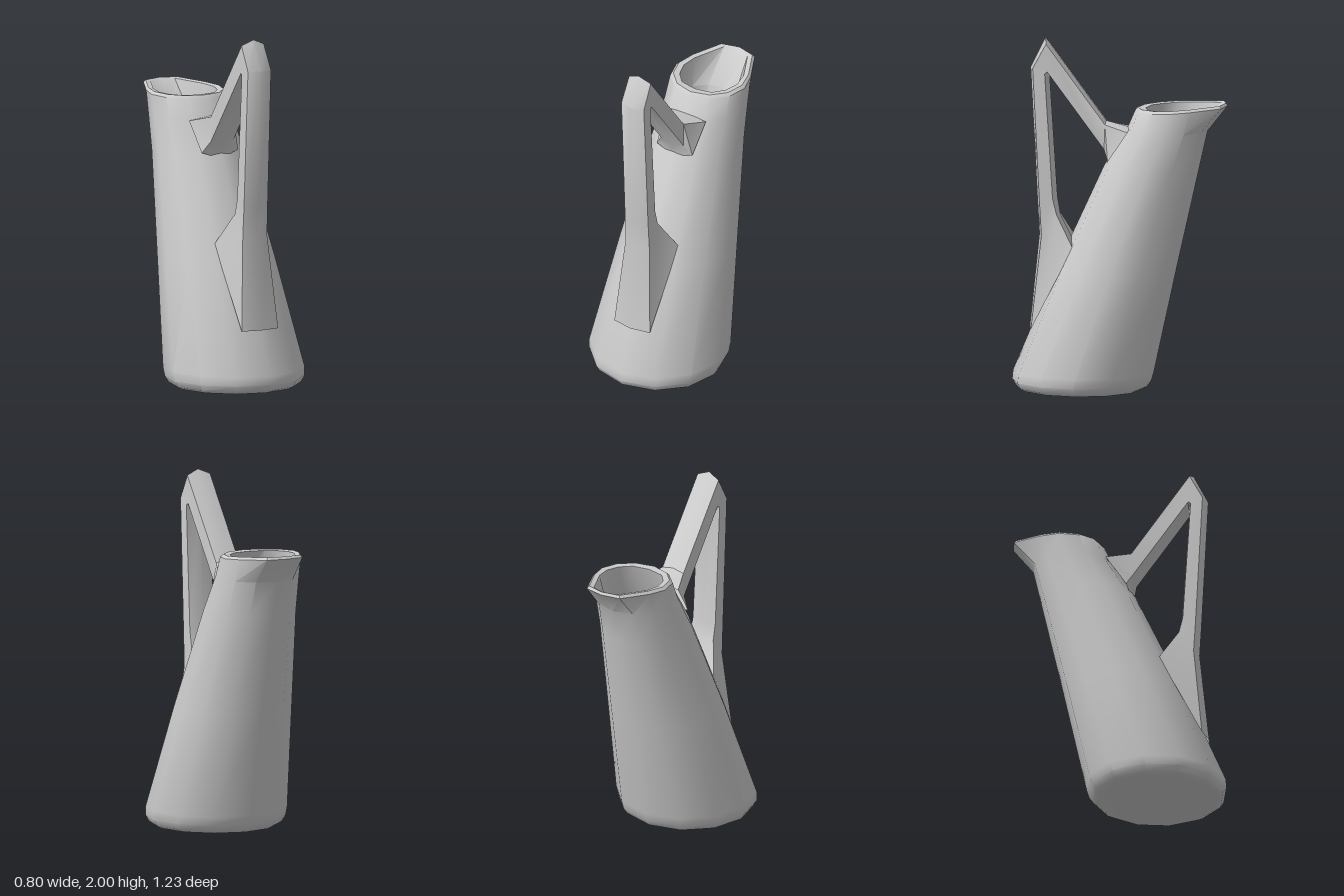
import * as THREE from 'three';
import { toCreasedNormals } from 'three/addons/utils/BufferGeometryUtils.js';

// Skins a list of equal-sized closed loops; optional flat caps at both ends
function loft(loops, caps, crease) {
  const n = loops[0].length;
  const pos = loops.flat(2);
  const index = [];
  for (let i = 0; i < loops.length - 1; i++) {
    for (let j = 0; j < n; j++) {
      const k = (j + 1) % n;
      const a = i * n + j, b = i * n + k, c = b + n, d = a + n;
      index.push(a, b, c, a, c, d);
    }
  }
  if (caps) {
    const last = (loops.length - 1) * n;
    for (let j = 1; j < n - 1; j++) {
      index.push(0, j + 1, j, last, last + j, last + j + 1);
    }
  }
  const geometry = new THREE.BufferGeometry();
  geometry.setAttribute('position', new THREE.Float32BufferAttribute(pos, 3));
  geometry.setIndex(index);
  return toCreasedNormals(geometry, crease);
}

// Twelve-sided horizontal ellipse between two z limits
function ring(y, zHandle, zSpout, rx) {
  const mid = (zHandle + zSpout) / 2, rz = (zHandle - zSpout) / 2;
  return Array.from({ length: 12 }, (_, j) => {
    const a = (j * Math.PI) / 6;
    return [rx * Math.sin(a), y, mid + rz * Math.cos(a)];
  });
}

// Pointed rim loop from half an outline of [x, z], rising toward the spout
function rim(y, half) {
  const point = ([x, z]) => [x, y + 0.03 * Math.pow((-0.09 - z) / 0.52, 1.5), z];
  const mirrored = half.slice(1, -1).reverse().map(([x, z]) => [-x, z]);
  return [...half, ...mirrored].map(point);
}

// Six-sided handle section: ridge and two edges outside, the same inside
function handleSection({ out, inn, wOut, wIn, bevOut, bevIn }) {
  const [zo, yo] = out, [zi, yi] = inn;
  const [dzo, dyo] = bevOut, [dzi, dyi] = bevIn;
  return [
    [0, yo, zo], [wOut, yo + dyo, zo + dzo], [wIn, yi + dyi, zi + dzi],
    [0, yi, zi], [-wIn, yi + dyi, zi + dzi], [-wOut, yo + dyo, zo + dzo],
  ];
}

export function createModel() {
  const group = new THREE.Group();
  const material = new THREE.MeshStandardMaterial({ color: 0xcccccc, side: THREE.DoubleSide });
  const add = (name, geometry) => {
    const mesh = new THREE.Mesh(geometry, material);
    mesh.name = name;
    group.add(mesh);
  };

  // Leaning body: outside going up, over the rim, then down the inside
  const rimOuter = [[0, -0.09], [0.115, -0.12], [0.2, -0.2], [0.23, -0.31], [0.2, -0.42], [0.115, -0.59], [0, -0.615]];
  const rimTop = [[0, -0.105], [0.11, -0.135], [0.185, -0.21], [0.213, -0.31], [0.188, -0.415], [0.105, -0.58], [0, -0.605]];
  const rimInner = [[0, -0.15], [0.1, -0.17], [0.155, -0.23], [0.18, -0.31], [0.165, -0.4], [0.08, -0.57], [0, -0.59]];
  add('jugBody', loft([
    ring(0, 0.56, -0.13, 0.345),
    ring(0.015, 0.59, -0.155, 0.375),
    ring(0.05, 0.61, -0.18, 0.395),
    ring(0.1, 0.605, -0.195, 0.4),
    ring(0.7, 0.352, -0.325, 0.33),
    ring(1.28, 0.085, -0.455, 0.257),
    ring(1.48, -0.04, -0.5, 0.237),
    rim(1.595, rimOuter),
    rim(1.61, rimTop),
    rim(1.605, rimInner),
    ring(1.45, -0.1, -0.45, 0.18),
    ring(0.08, 0.53, -0.13, 0.33),
  ], true, 0.62));

  // Handle: splayed foot, upright grip, peak, sloping arm and flared upper joint
  const sections = [
    { out: [0.51, 0.35], inn: [0.25, 0.82], wOut: 0.12, wIn: 0.155, bevOut: [-0.02, 0], bevIn: [0, 0] },
    { out: [0.455, 0.88], inn: [0.335, 0.99], wOut: 0.08, wIn: 0.08, bevOut: [-0.02, 0], bevIn: [0.015, 0.01] },
    { out: [0.465, 1.05], inn: [0.352, 1.09], wOut: 0.078, wIn: 0.078, bevOut: [-0.02, 0], bevIn: [0.02, 0] },
    { out: [0.505, 1.83], inn: [0.397, 1.79], wOut: 0.076, wIn: 0.076, bevOut: [-0.02, 0], bevIn: [0.02, 0.01] },
    { out: [0.42, 2.0], inn: [0.392, 1.8], wOut: 0.073, wIn: 0.073, bevOut: [-0.01, -0.03], bevIn: [0.01, 0.01] },
    { out: [0.075, 1.53], inn: [0.08, 1.345], wOut: 0.073, wIn: 0.075, bevOut: [0, -0.015], bevIn: [0, 0.03] },
    { out: [-0.06, 1.495], inn: [0.065, 1.27], wOut: 0.135, wIn: 0.12, bevOut: [0, -0.015], bevIn: [-0.01, 0.04] },
  ];
  add('handle', loft(sections.map(handleSection), false, 0.6));

  return group;
}
